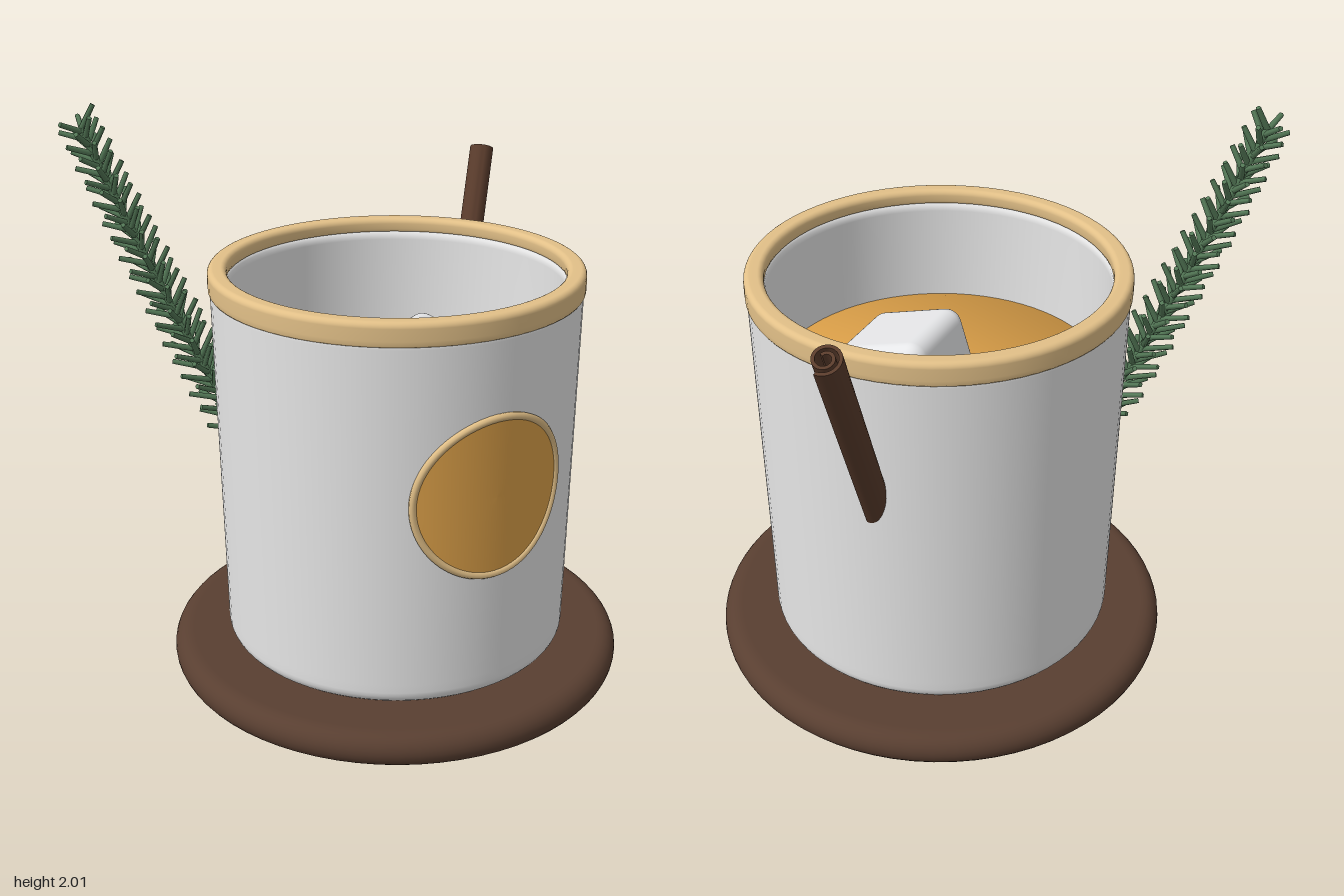
import * as THREE from 'three';
import { mergeGeometries, toCreasedNormals } from 'three/addons/utils/BufferGeometryUtils.js';
import { RoundedBoxGeometry } from 'three/addons/geometries/RoundedBoxGeometry.js';

const CX = 0.07; // axis of cup and coaster

function material(name, color, side = THREE.FrontSide) {
  const m = new THREE.MeshStandardMaterial({ color, side });
  m.name = name;
  return m;
}

const lathe = (pts) => new THREE.LatheGeometry(pts.map(([x, y]) => new THREE.Vector2(x, y)), 72);

// points of an arc, for rounded profile corners
function arc(cx, cy, r, from, to, n = 6) {
  return Array.from({ length: n + 1 }, (_, i) => {
    const a = from + ((to - from) * i) / n;
    return [cx + r * Math.cos(a), cy + r * Math.sin(a)];
  });
}

// outer wall of the cup: radius at a height, and depth at (x, y)
const wallRadius = (y) => 0.61 + (0.024 * (y - 0.17)) / 1.23;
const wallZ = (x, y) => Math.sqrt(wallRadius(y) ** 2 - x * x);

// rolled bark: a spiral strip, extruded
function rolledBark(length) {
  const turns = 1.7, n = 44, thick = 0.011, outer = [], inner = [];
  for (let i = 0; i <= n; i++) {
    const t = i / n, a = t * turns * Math.PI * 2, r = 0.057 - 0.035 * t;
    outer.push(new THREE.Vector2(r * Math.cos(a), r * Math.sin(a)));
    inner.push(new THREE.Vector2((r - thick) * Math.cos(a), (r - thick) * Math.sin(a)));
  }
  const shape = new THREE.Shape([...outer, ...inner.reverse()]);
  return toCreasedNormals(
    new THREE.ExtrudeGeometry(shape, { depth: length, bevelEnabled: false, steps: 1 }), 0.6);
}

export function createModel() {
  const group = new THREE.Group();
  const white = material('cup white', 0xebebeb);
  const gold = material('pale gold', 0xe2c088);
  const amber = material('amber', 0xe0a34a);
  const wood = material('dark wood', 0x593f31);
  const bark = material('cinnamon brown', 0x5a3c2c, THREE.DoubleSide);
  const green = material('herb green', 0x557a58);
  const ice = material('ice', 0xf2f3f5);

  const add = (name, geometry, mat, x = 0, y = 0, z = 0) => {
    const mesh = new THREE.Mesh(geometry, mat);
    mesh.name = name;
    mesh.position.set(x, y, z);
    group.add(mesh);
    return mesh;
  };

  // coaster with a round edge
  add('coaster', lathe([[0, 0], [0.4, 0], [0.74, 0],
    ...arc(0.75, 0.06, 0.06, -Math.PI / 2, Math.PI / 2, 12), [0.74, 0.12], [0.4, 0.12], [0, 0.12]]), wood, CX);

  // cup with its inner wall
  add('cup', lathe([[0, 0.12], [0.56, 0.12], ...arc(0.56, 0.17, 0.05, -Math.PI / 2, 0),
    [0.6105, 0.2], [0.633, 1.39], [0.634, 1.41], [0.62, 1.43], [0.59, 1.43], [0.576, 1.42],
    [0.575, 1.4], [0.575, 0.22], [0.55, 0.2], [0, 0.2]]), white, CX);

  // rim band
  add('rim', lathe([[0.62, 1.4], [0.636, 1.4], [0.639, 1.405], [0.64, 1.42],
    ...arc(0.62, 1.46, 0.02, 0, Math.PI / 2), ...arc(0.594, 1.46, 0.02, Math.PI / 2, Math.PI),
    [0.574, 1.44], [0.578, 1.43]]), gold, CX);

  // drink, its surface shaded softly towards the edge
  add('drink', lathe([[0.573, 0.7], [0.573, 1.06], [0, 1.06]]), amber, CX);

  // tilted ice cube
  const cube = add('iceCube', new RoundedBoxGeometry(0.35, 0.35, 0.35, 5, 0.055), ice, 0.15, 1.05, 0.07);
  cube.rotation.set(0.3, 0.53, 0, 'YXZ');

  // round badge wrapped on the front of the cup
  const BY = 0.86;
  const face = new THREE.RingGeometry(0.0005, 0.276, 64, 10);
  const p = face.attributes.position;
  for (let i = 0; i < p.count; i++) {
    p.setZ(i, wallZ(p.getX(i), p.getY(i) + BY) + 0.007);
  }
  face.computeVertexNormals();
  add('badgeFace', face, amber, CX, BY);

  const ring = [];
  for (let i = 0; i < 48; i++) {
    const a = (i / 48) * Math.PI * 2, x = 0.277 * Math.cos(a), y = 0.277 * Math.sin(a);
    ring.push(new THREE.Vector3(x, y, wallZ(x, y + BY) + 0.003));
  }
  add('badgeRing', new THREE.TubeGeometry(new THREE.CatmullRomCurve3(ring, true), 96, 0.013, 8, true), gold, CX, BY);

  // cinnamon stick leaning out through the wall
  const length = 1.2;
  const top = new THREE.Vector3(0.832, 1.675, -0.615);
  const lean = new THREE.Vector3(0.38, 1, -0.35).normalize();
  const stick = add('cinnamonStick', rolledBark(length), bark);
  stick.position.copy(top).addScaledVector(lean, -length);
  stick.quaternion.setFromUnitVectors(new THREE.Vector3(0, 0, 1), lean);

  // herb sprig: stem, with needles set in a spiral
  const stem = new THREE.CatmullRomCurve3([
    new THREE.Vector3(-0.37, 0.8, -0.27),
    new THREE.Vector3(-0.52, 1.15, -0.36),
    new THREE.Vector3(-0.67, 1.53, -0.45),
    new THREE.Vector3(-0.82, 1.93, -0.535)]);
  add('sprigStem', new THREE.TubeGeometry(stem, 24, 0.013, 6), green);

  const needles = [], up = new THREE.Vector3(0, 1, 0), count = 120;
  for (let i = 0; i < count; i++) {
    const t = 0.06 + (0.94 * i) / (count - 1);
    const along = stem.getTangentAt(t);
    const side = new THREE.Vector3(0, 0, 1).cross(along).normalize();
    side.applyAxisAngle(along, i * 2.4);
    const dir = along.clone().multiplyScalar(0.62).addScaledVector(side, 0.78).normalize();
    const size = 0.125 - 0.035 * t;
    const needle = new THREE.CylinderGeometry(0.009, 0.011, size, 5);
    needle.translate(0, size / 2, 0);
    needle.applyQuaternion(new THREE.Quaternion().setFromUnitVectors(up, dir));
    const base = stem.getPointAt(t);
    needle.translate(base.x, base.y, base.z);
    needles.push(needle);
  }
  add('sprigNeedles', mergeGeometries(needles), green);

  return group;
}
